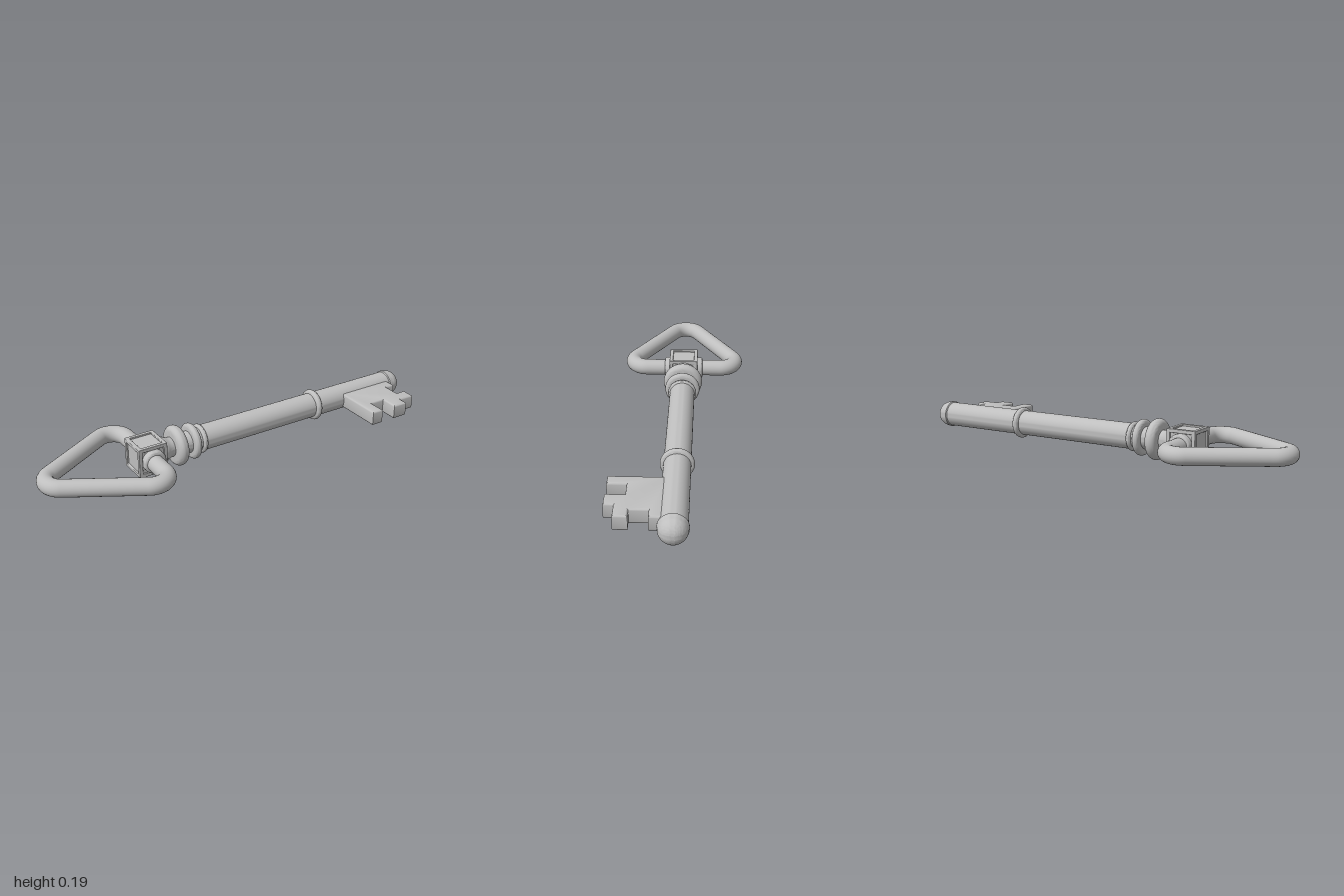
import * as THREE from 'three';
import { toCreasedNormals } from 'three/addons/utils/BufferGeometryUtils.js';
import { RoundedBoxGeometry } from 'three/addons/geometries/RoundedBoxGeometry.js';

export function createModel() {
  const root = new THREE.Group();
  const key = new THREE.Group();
  key.name = 'key';
  key.position.y = 0.097;
  root.add(key);

  const metal = new THREE.MeshStandardMaterial({ color: 0xbfbfbf });
  metal.name = 'grey metal';

  const add = (name, geometry, parent = key) => {
    const mesh = new THREE.Mesh(geometry, metal);
    mesh.name = name;
    parent.add(mesh);
    return mesh;
  };

  // Turned part along x; profile is a list of [radius, x]
  const turned = (profile) => toCreasedNormals(
    new THREE.LatheGeometry(profile.map(([r, x]) => new THREE.Vector2(r, x)), 48).rotateZ(-Math.PI / 2), 0.6);

  // Quarter or half round run of profile points
  const round = (r, x, size, from, to, n = 12) => Array.from({ length: n + 1 }, (_, i) => {
    const a = from + (to - from) * i / n;
    return [Math.max(0, r + size * Math.cos(a)), x + size * Math.sin(a)];
  });

  // Shaft with a small lip and domed tip
  add('shaft', turned([[0, -0.2], [0.061, -0.2], [0.061, 0.925], [0, 0.925]]));
  add('tip', turned([
    [0, 0.918], [0.061, 0.918], [0.066, 0.922], [0.066, 0.932], [0.064, 0.936],
    ...round(0, 0.936, 0.064, 0, Math.PI / 2, 16),
  ]));

  // Neck between the block and the shaft
  add('neck', turned([
    [0, -0.42], [0.063, -0.42], [0.063, -0.392], [0.055, -0.38], [0.047, -0.36], [0.046, -0.34],
    [0.05, -0.3], [0.052, -0.26], [0.058, -0.22], [0.058, -0.19], [0, -0.19],
  ]));

  // Rounded rings: [x, outer radius, half width]
  [[-0.32, 0.097, 0.027], [-0.24, 0.086, 0.017], [-0.195, 0.07, 0.012], [0.46, 0.077, 0.016]]
    .forEach(([x, R, h]) => add('ring', turned([
      [0.04, x - h], ...round(R - h, x, h, -Math.PI / 2, Math.PI / 2), [0.04, x + h],
    ])));

  // Block with recessed panels framed by edge bars
  const block = new THREE.Group();
  block.name = 'block';
  block.position.x = -0.475;
  key.add(block);
  add('blockCore', new THREE.BoxGeometry(0.128, 0.128, 0.128), block);
  const half = 0.072, bar = 0.018, off = half - bar / 2;
  for (const axis of [0, 1, 2]) {
    for (const s of [-1, 1]) for (const t of [-1, 1]) {
      const size = [bar, bar, bar], pos = [0, 0, 0];
      size[axis] = half * 2;
      pos[(axis + 1) % 3] = s * off;
      pos[(axis + 2) % 3] = t * off;
      add('blockFrame', new RoundedBoxGeometry(...size, 2, 0.003), block).position.set(...pos);
    }
  }

  // Collars where the bow enters the block
  for (const side of [-1, 1]) {
    const collar = add('bowCollar', turned([
      [0.055, 0.05], ...round(0.043, 0.085, 0.012, 0, Math.PI / 2, 6), [0.03, 0.097],
    ]), block);
    collar.rotation.y = -side * Math.PI / 2;
  }

  // Triangular bow with rounded corners
  const outline = new THREE.Shape();
  const r = 0.075, deg = Math.PI / 180;
  outline.moveTo(-0.48, 0);
  outline.absarc(-0.555, 0.19, r, 0, 120 * deg);
  outline.absarc(-0.884, 0, r, 120 * deg, 240 * deg);
  outline.absarc(-0.555, -0.19, r, 240 * deg, 360 * deg);
  outline.lineTo(-0.48, 0);
  const path = outline.getSpacedPoints(120).slice(0, -1).map((p) => new THREE.Vector3(p.x, 0, p.y));
  add('bow', new THREE.TubeGeometry(new THREE.CatmullRomCurve3(path, true), 180, 0.04, 24, true));

  // Notched bit with softened edges, extending toward the front
  const bitShape = new THREE.Shape([
    [0.617, 0.03], [0.906, 0.03], [0.906, 0.1], [0.858, 0.1], [0.858, 0.182], [0.906, 0.182],
    [0.906, 0.245], [0.826, 0.245], [0.826, 0.289], [0.751, 0.289], [0.751, 0.203],
    [0.676, 0.203], [0.676, 0.289], [0.617, 0.289],
  ].map(([x, z]) => new THREE.Vector2(x, z)));
  const bevel = 0.009, depth = 0.072 - 2 * bevel;
  const bit = new THREE.ExtrudeGeometry(bitShape, {
    depth, bevelEnabled: true, bevelSize: bevel, bevelThickness: bevel, bevelOffset: -bevel, bevelSegments: 3,
  });
  bit.translate(0, 0, -depth / 2).rotateX(Math.PI / 2);
  add('bit', toCreasedNormals(bit, 0.6));

  return root;
}
